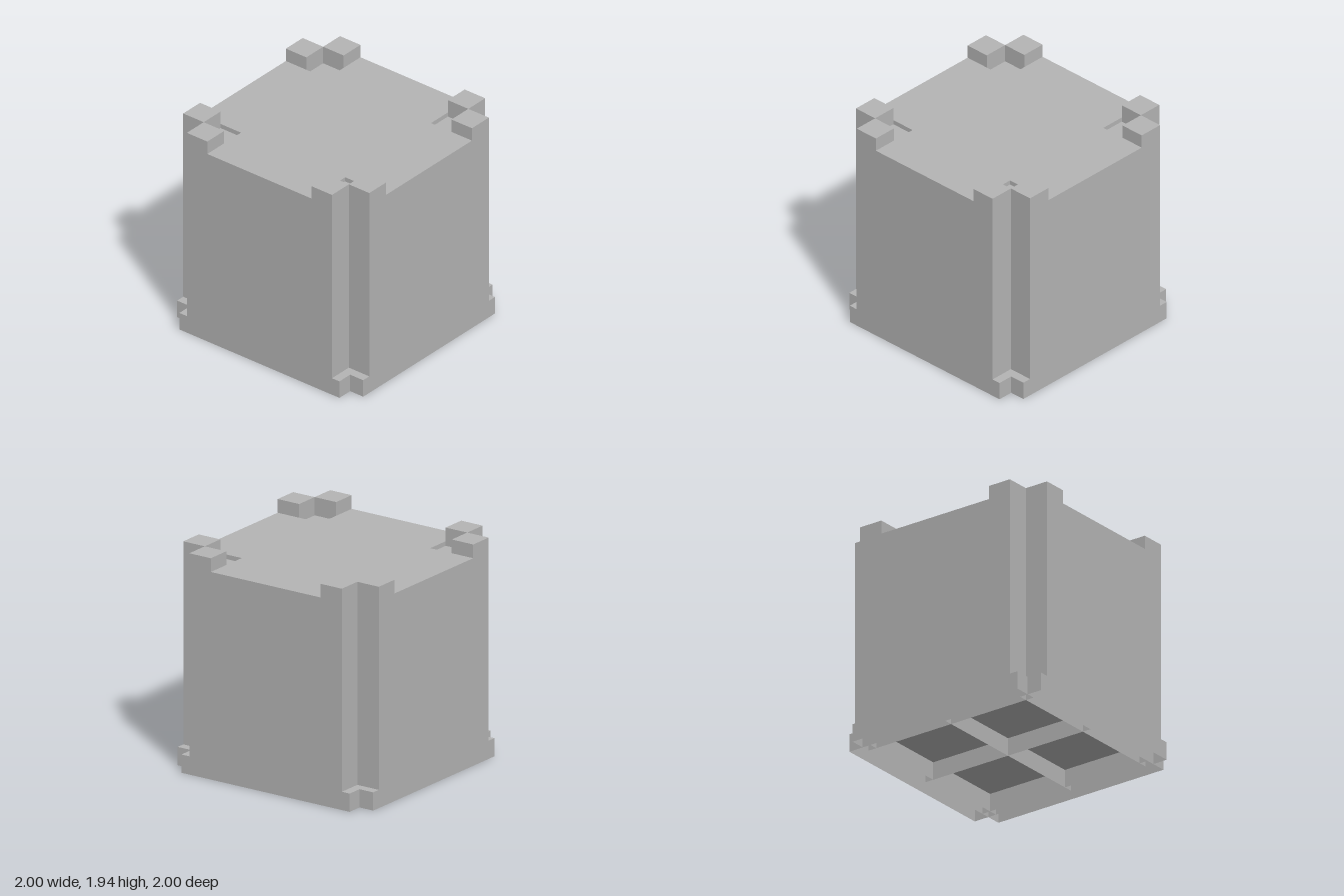
import * as THREE from 'three';

// Square of half-size 1 with a square notch cut from each corner, from n outwards
function plusShape(n) {
  const s = new THREE.Shape();
  const quarter = [[1, -n], [1, n], [n, n]];
  for (let i = 0; i < 4; i++) {
    for (const [x, y] of quarter) {
      const [px, py] = [[x, y], [-y, x], [-x, -y], [y, -x]][i];
      if (i === 0 && x === 1 && y === -n) s.moveTo(px, py);
      else s.lineTo(px, py);
    }
  }
  s.closePath();
  return s;
}

export function createModel() {
  const model = new THREE.Group();
  const grey = new THREE.MeshStandardMaterial({ color: 0xb4b4b4, side: THREE.DoubleSide });
  grey.name = 'plain grey';

  const add = (name, geometry, x = 0, y = 0, z = 0) => {
    const mesh = new THREE.Mesh(geometry, grey);
    mesh.name = name;
    mesh.position.set(x, y, z);
    model.add(mesh);
    return mesh;
  };
  const prism = (n, height) =>
    new THREE.ExtrudeGeometry(plusShape(n), { depth: height, bevelEnabled: false }).rotateX(-Math.PI / 2);

  const baseTop = 0.16, recess = 1.78, deck = 1.82, top = 1.94;
  const inner = 0.56, notch = 0.78, foot = 0.86;

  // Body with notched corners, and the deck that leaves a shallow corner recess
  add('body', prism(notch, recess - baseTop), 0, baseTop, 0);
  add('deck', prism(inner, deck - recess), 0, recess, 0);

  // Two stacking lugs at each corner
  const w = notch - inner, h = top - recess;
  const near = (inner + notch) / 2, far = (notch + 1) / 2;
  const lug = new THREE.BoxGeometry(w, h, w);
  for (const sx of [-1, 1]) {
    for (const sz of [-1, 1]) {
      add('stackingLug', lug, sx * near, recess + h / 2, sz * far);
      add('stackingLug', lug, sx * far, recess + h / 2, sz * near);
    }
  }

  // Base plate, open underneath
  add('basePlate', new THREE.ShapeGeometry(plusShape(foot)).rotateX(-Math.PI / 2), 0, baseTop, 0);

  // Thin walls and ribs of the base: [offset, half-length, name]
  const sheets = [
    [0, foot, 'centreRib'],
    [notch, foot, 'innerRib'],
    [foot, 1, 'footWall'],
    [1, foot, 'outerWall'],
  ];
  for (const [offset, half, name] of sheets) {
    const sheet = new THREE.PlaneGeometry(half * 2, baseTop);
    for (const side of offset ? [1, -1] : [1]) {
      const turn = side > 0 ? 0 : Math.PI;
      add(name, sheet, 0, baseTop / 2, side * offset).rotation.y = turn;
      add(name, sheet, side * offset, baseTop / 2, 0).rotation.y = turn + Math.PI / 2;
    }
  }
  return model;
}
